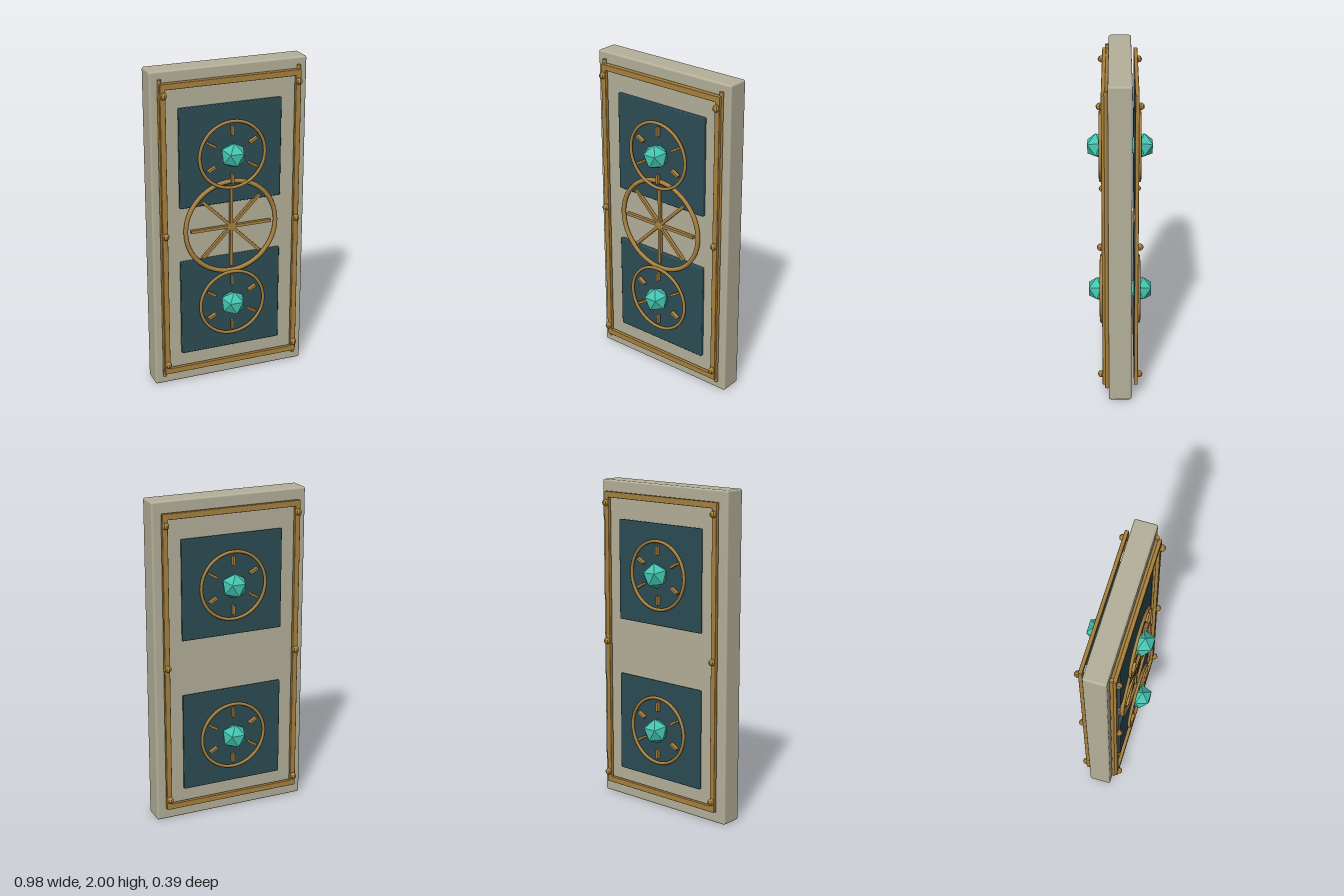
import * as THREE from 'three';
import { RoundedBoxGeometry } from 'three/addons/geometries/RoundedBoxGeometry.js';

const stone = new THREE.MeshStandardMaterial({ color: 0xb5b09a });
const brass = new THREE.MeshStandardMaterial({ color: 0xa8813f });
const brassFlat = new THREE.MeshStandardMaterial({ color: 0xa8813f, flatShading: true });
const slate = new THREE.MeshStandardMaterial({ color: 0x2c4c54 });
const crystal = new THREE.MeshStandardMaterial({ color: 0x45c4b0, flatShading: true });

function add(parent, name, geometry, material, x = 0, y = 0, z = 0) {
  const mesh = new THREE.Mesh(geometry, material);
  mesh.name = name;
  mesh.position.set(x, y, z);
  parent.add(mesh);
  return mesh;
}

// Icosahedron turned so that one face looks along +z, its tip pointing down
function gemGeometry(radius) {
  const turn = new THREE.Quaternion().setFromUnitVectors(
    new THREE.Vector3(1, 1, 1).normalize(), new THREE.Vector3(0, 0, 1));
  const corner = new THREE.Vector3(0, 1, (1 + Math.sqrt(5)) / 2).applyQuaternion(turn);
  return new THREE.IcosahedronGeometry(radius, 0)
    .applyQuaternion(turn)
    .rotateZ(-Math.PI / 2 - Math.atan2(corner.y, corner.x));
}

// Ring with six hour ticks around a gem
function medallion(y) {
  const group = new THREE.Group();
  group.name = 'medallion';
  group.position.y = y;
  add(group, 'medallionRing', new THREE.TorusGeometry(0.206, 0.01, 8, 48), brass, 0, 0, 0.115);
  for (let i = 0; i < 6; i++) {
    const a = Math.PI / 2 + i * Math.PI / 3;
    const tick = add(group, 'tick', new THREE.BoxGeometry(0.056, 0.014, 0.025), brass,
      0.151 * Math.cos(a), 0.151 * Math.sin(a), 0.114);
    tick.rotation.z = a;
  }
  add(group, 'gem', gemGeometry(0.08), crystal, 0, 0, 0.13);
  return group;
}

// Everything that both faces of the door carry, built facing +z
function doorFace(panelBack, panelFront, frameZ) {
  const group = new THREE.Group();
  const depth = panelFront - panelBack;
  for (const [panelY, medalY] of [[0.503, 0.505], [1.465, 1.465]]) {
    add(group, 'panel', new RoundedBoxGeometry(0.642, 0.616, depth, 2, 0.006), slate,
      0, panelY, (panelBack + panelFront) / 2);
    group.add(medallion(medalY));
  }
  // Flat frame
  for (const y of [0.095, 1.915])
    add(group, 'frameRail', new RoundedBoxGeometry(0.872, 0.037, 0.023, 2, 0.004), brass, 0, y, frameZ);
  for (const s of [-1, 1]) {
    add(group, 'frameStile', new RoundedBoxGeometry(0.034, 1.856, 0.023, 2, 0.004), brass,
      s * 0.421, 1.005, frameZ);
    // Rivets
    for (const y of [0.145, 1.003, 1.865])
      add(group, 'rivet', new THREE.SphereGeometry(0.021, 8, 6), brassFlat, s * 0.42, y, 0.114);
  }
  return group;
}

export function createModel() {
  const model = new THREE.Group();
  add(model, 'slab', new RoundedBoxGeometry(0.976, 2, 0.136, 3, 0.012), stone, 0, 1, 0);

  const front = doorFace(0.066, 0.092, 0.095);
  front.name = 'frontFace';
  const back = doorFace(0.083, 0.102, 0.095);
  back.name = 'backFace';
  back.rotation.y = Math.PI;
  model.add(front, back);

  // Round piping behind the front frame
  for (const s of [-1, 1]) {
    add(front, 'uprightPipe', new THREE.CylinderGeometry(0.012, 0.012, 1.9, 10), brass, s * 0.432, 1.005, 0.079);
    const pipe = add(front, 'crossPipe', new THREE.CylinderGeometry(0.011, 0.011, 0.86, 10), brass,
      0, 1.005 + s * 0.918, 0.079);
    pipe.rotation.z = Math.PI / 2;
  }

  // Spoked wheel in the middle of the front
  const wheel = new THREE.Group();
  wheel.name = 'wheel';
  wheel.position.set(0, 1.003, 0.094);
  add(wheel, 'wheelRim', new THREE.TorusGeometry(0.289, 0.014, 10, 64), brass);
  for (let i = 0; i < 4; i++) {
    const spoke = add(wheel, 'spoke', new THREE.BoxGeometry(0.515, 0.018, 0.02), brass);
    spoke.rotation.z = i * Math.PI / 4;
  }
  front.add(wheel);
  return model;
}
